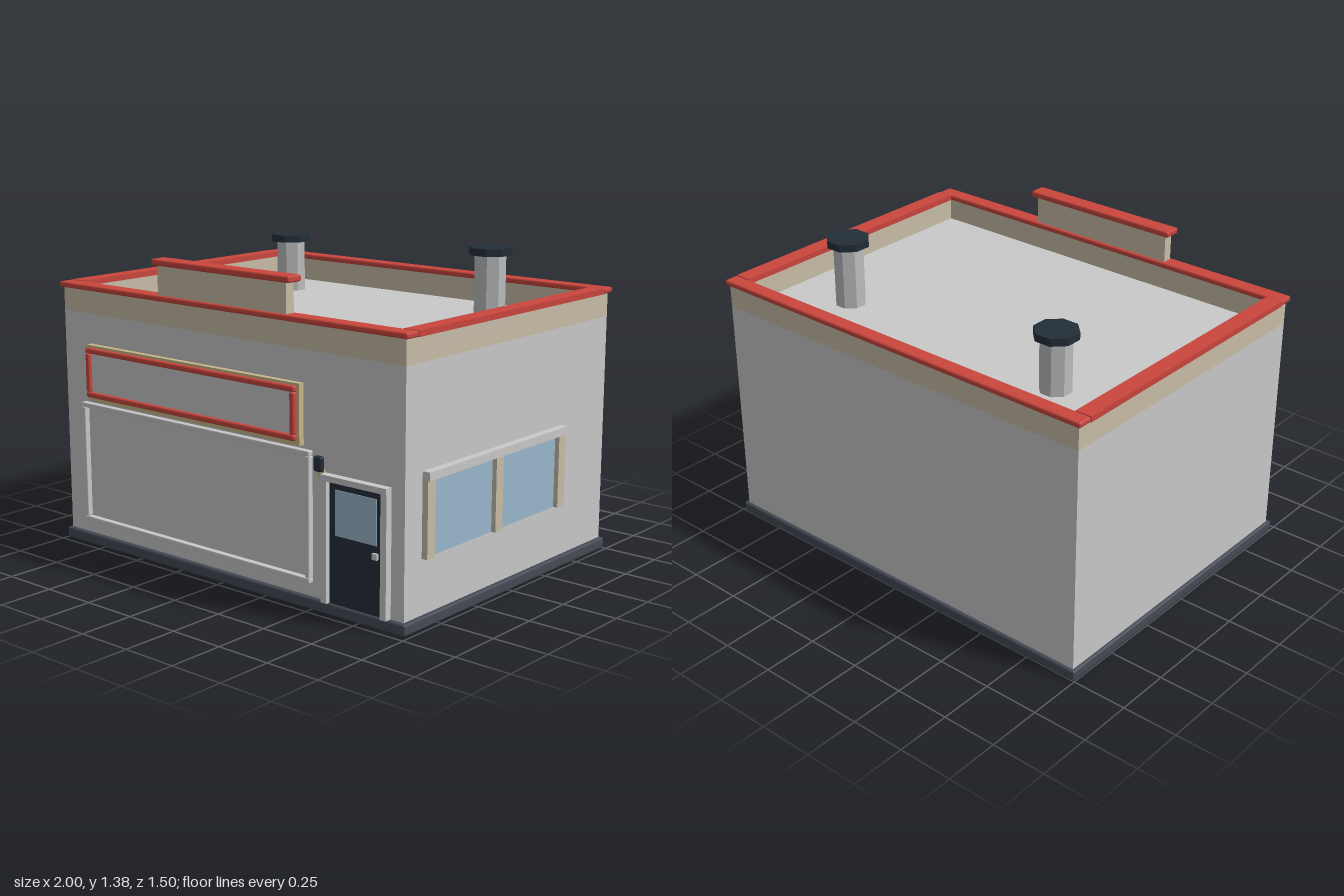
import * as THREE from 'three';
import { RoundedBoxGeometry } from 'three/addons/geometries/RoundedBoxGeometry.js';

export function createModel() {
  const model = new THREE.Group();
  model.name = 'shopBuilding';

  const mat = (name, color) => {
    const m = new THREE.MeshStandardMaterial({ color });
    m.name = name;
    return m;
  };
  const wall = mat('wallGrey', 0xc9c9c9);
  const tan = mat('parapetTan', 0xc9bda8);
  const ochre = mat('signBackOchre', 0xc8b888);
  const red = mat('trimRed', 0xc9463d);
  const dark = mat('darkBlue', 0x232e37);
  const base = mat('plinthSlate', 0x444a55);
  const glass = mat('glassBlue', 0x9ab8cc);
  const pipe = mat('pipeGrey', 0xbcbdbe);

  const add = (name, geometry, material, parent = model) => {
    const mesh = new THREE.Mesh(geometry, material);
    mesh.name = name;
    parent.add(mesh);
    return mesh;
  };
  const group = (name) => {
    const g = new THREE.Group();
    g.name = name;
    model.add(g);
    return g;
  };
  // Box given by its extents on each axis; a bevel rounds its edges
  const box = (name, material, [x0, x1], [y0, y1], [z0, z1], parent, bevel = 0) => {
    const s = [x1 - x0, y1 - y0, z1 - z0];
    const g = bevel ? new RoundedBoxGeometry(...s, 2, bevel) : new THREE.BoxGeometry(...s);
    g.translate((x0 + x1) / 2, (y0 + y1) / 2, (z0 + z1) / 2);
    return add(name, g, material, parent);
  };
  // Four bars around a rectangle on the front wall
  const frame = (name, material, [x0, x1], [y0, y1], z, t, parent, bevel) => {
    box(name + 'Bottom', material, [x0, x1], [y0, y0 + t], z, parent, bevel);
    box(name + 'Top', material, [x0, x1], [y1 - t, y1], z, parent, bevel);
    box(name + 'Right', material, [x0, x0 + t], [y0 + t, y1 - t], z, parent, bevel);
    box(name + 'Left', material, [x1 - t, x1], [y0 + t, y1 - t], z, parent, bevel);
  };

  // Plinth and main body, whose top is the flat roof
  box('plinth', base, [-1, 0.985], [0, 0.05], [-0.755, 0.72], model, 0.01);
  box('body', wall, [-0.985, 0.965], [0.04, 1.07], [-0.74, 0.7]);

  // Hollow parapet
  const parapet = group('parapet');
  const py = [1.07, 1.18];
  box('parapetFront', tan, [-0.985, 0.965], py, [0.655, 0.7], parapet);
  box('parapetBack', tan, [-0.985, 0.965], py, [-0.74, -0.695], parapet);
  box('parapetRight', tan, [-0.985, -0.94], py, [-0.695, 0.655], parapet);
  box('parapetLeft', tan, [0.92, 0.965], py, [-0.695, 0.655], parapet);
  box('raisedParapet', tan, [-0.375, 0.36], [1.18, 1.335], [0.655, 0.7], parapet);

  // Red coping
  const coping = group('coping');
  const cy = [1.175, 1.2];
  box('copingFront', red, [-1, 0.98], cy, [0.64, 0.715], coping, 0.008);
  box('copingBack', red, [-1, 0.98], cy, [-0.755, -0.685], coping, 0.008);
  box('copingRight', red, [-1, -0.925], cy, [-0.685, 0.64], coping);
  box('copingLeft', red, [0.905, 0.98], cy, [-0.685, 0.64], coping);
  box('raisedCoping', red, [-0.4, 0.385], [1.327, 1.355], [0.635, 0.715], coping, 0.008);

  // Octagonal vents on the roof
  for (const [x, z, top] of [[-0.613, -0.415, 1.34], [0.595, -0.367, 1.383]]) {
    const vent = group('roofVent');
    vent.position.set(x, 0, z);
    const octagon = (name, r, y0, y1, material) => {
      const g = new THREE.CylinderGeometry(r, r, y1 - y0, 8, 1, false, Math.PI / 8).toNonIndexed();
      g.computeVertexNormals();
      add(name, g.translate(0, (y0 + y1) / 2, 0), material, vent);
    };
    octagon('ventPipe', 0.07, 1.07, top - 0.03, pipe);
    octagon('ventCap', 0.097, top - 0.033, top, dark);
  }

  // Blank sign board with red border
  const sign = group('sign');
  box('signBack', ochre, [-0.815, 0.45], [0.68, 0.935], [0.69, 0.727], sign);
  box('signPanel', wall, [-0.785, 0.42], [0.715, 0.91], [0.726, 0.731], sign);
  frame('signBorder', red, [-0.805, 0.437], [0.7, 0.925], [0.722, 0.748], 0.025, sign, 0.008);

  // Large framed panel on the front
  const panel = group('frontPanel');
  frame('panelFrame', wall, [-0.865, 0.497], [0.11, 0.665], [0.69, 0.725], 0.022, panel, 0.004);

  // Door
  const door = group('door');
  box('doorFrameRight', wall, [0.565, 0.595], [0.05, 0.562], [0.69, 0.732], door);
  box('doorFrameLeft', wall, [0.87, 0.9], [0.05, 0.562], [0.69, 0.732], door);
  box('doorFrameTop', wall, [0.565, 0.9], [0.562, 0.587], [0.69, 0.735], door);
  box('doorLeaf', dark, [0.595, 0.87], [0.05, 0.562], [0.69, 0.712], door);
  box('doorGlass', glass, [0.628, 0.838], [0.34, 0.53], [0.711, 0.715], door);
  box('doorHandle', wall, [0.823, 0.846], [0.285, 0.31], [0.711, 0.725], door);

  // Wall lamp beside the door
  const lamp = group('wallLamp');
  box('lampHousing', dark, [0.524, 0.568], [0.59, 0.655], [0.705, 0.732], lamp, 0.011);
  box('lampBracket', ochre, [0.533, 0.565], [0.563, 0.6], [0.69, 0.711], lamp);

  // Double window on the left wall
  const side = group('sideWindow');
  box('sideLintel', wall, [0.955, 1], [0.605, 0.64], [-0.39, 0.59], side);
  for (const z of [-0.39, 0.077, 0.54]) {
    box('sidePost', tan, [0.955, 0.992], [0.285, 0.605], [z, z + 0.05], side);
  }
  for (const [z0, z1] of [[-0.34, 0.077], [0.127, 0.54]]) {
    box('sideGlass', glass, [0.964, 0.971], [0.285, 0.605], [z0, z1], side);
  }

  return model;
}
